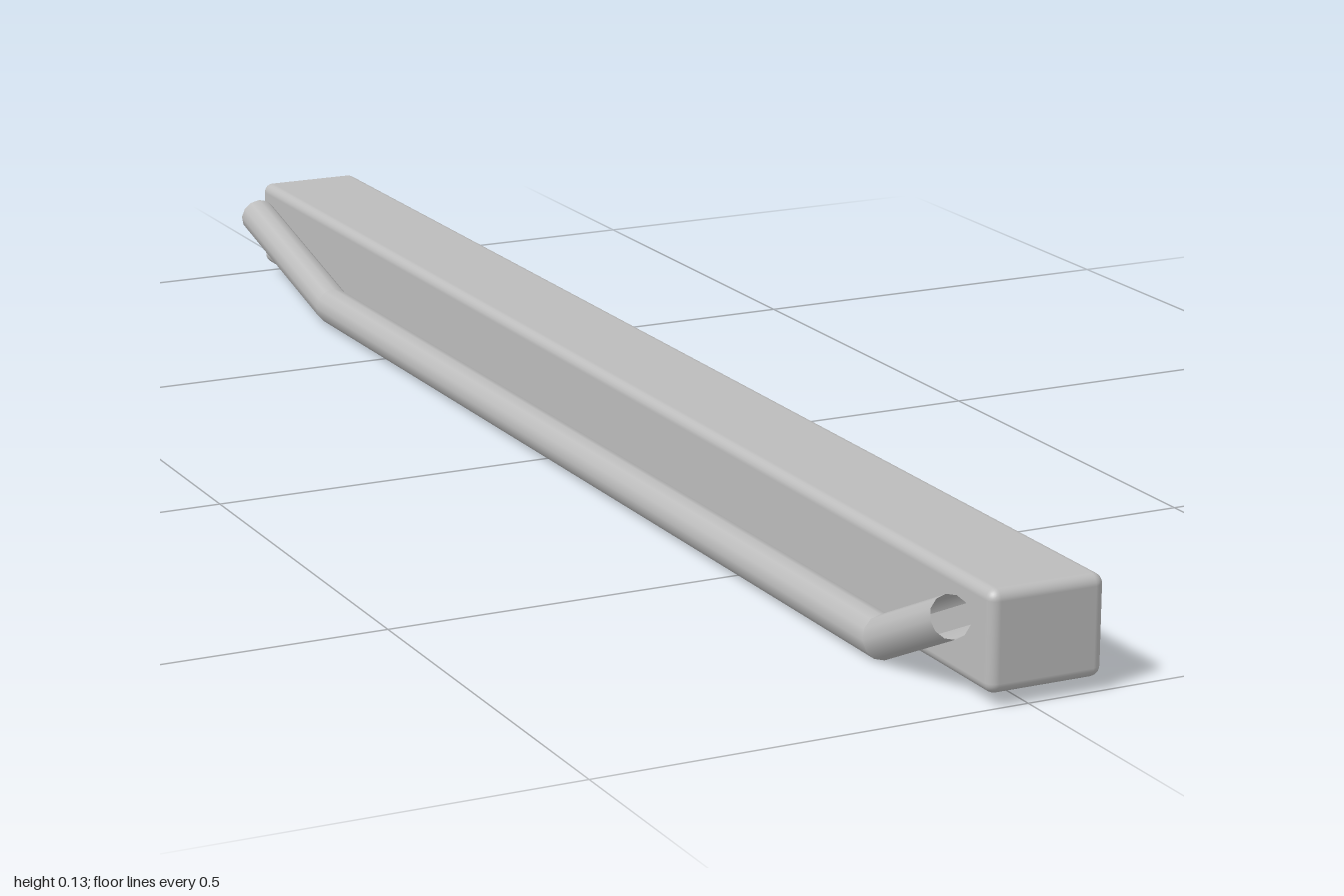
import * as THREE from 'three';
import { RoundedBoxGeometry } from 'three/addons/geometries/RoundedBoxGeometry.js';

const PIPE_RADIUS = 0.024;
const PIPE_SIDES = 12;

// Open straight pipe from a to b, its ends cut along planes with normals na and nb
function pipeSegment(a, b, na, nb) {
  const dir = b.clone().sub(a).normalize();
  const geometry = new THREE.CylinderGeometry(PIPE_RADIUS, PIPE_RADIUS, a.distanceTo(b), PIPE_SIDES, 1, true);
  geometry.applyQuaternion(new THREE.Quaternion().setFromUnitVectors(new THREE.Vector3(0, 1, 0), dir));
  const mid = a.clone().add(b).multiplyScalar(0.5);
  geometry.translate(mid.x, mid.y, mid.z);
  // Slide end vertices along the pipe onto the cutting planes
  const pos = geometry.attributes.position;
  const v = new THREE.Vector3();
  for (let i = 0; i < pos.count; i++) {
    v.fromBufferAttribute(pos, i);
    const atEnd = v.clone().sub(mid).dot(dir) > 0;
    const [point, normal] = atEnd ? [b, nb] : [a, na];
    v.addScaledVector(dir, point.clone().sub(v).dot(normal) / dir.dot(normal));
    pos.setXYZ(i, v.x, v.y, v.z);
  }
  return geometry;
}

export function createModel() {
  const model = new THREE.Group();
  model.name = 'beamWithPipe';
  const grey = new THREE.MeshStandardMaterial({ color: 0xbcbcbc, side: THREE.DoubleSide });
  grey.name = 'light grey';

  // Long beam with softened edges
  const beam = new THREE.Mesh(new RoundedBoxGeometry(0.137, 0.113, 2, 3, 0.012), grey);
  beam.name = 'beam';
  beam.position.set(0.0215, 0.0715, 0);
  model.add(beam);

  // Hollow side pipe, bent upward at both ends
  const pipe = new THREE.Group();
  pipe.name = 'sidePipe';
  const path = [[0.091, 0.955], [0.025, 0.815], [0.025, -0.695], [0.091, -0.965]]
    .map(([y, z]) => new THREE.Vector3(-0.068, y, z));
  const dirs = path.slice(1).map((p, i) => p.clone().sub(path[i]).normalize());
  // Square cut at the free ends, mitred at the bends
  const cuts = path.map((_, i) =>
    (dirs[i - 1] ?? dirs[i]).clone().add(dirs[i] ?? dirs[i - 1]).normalize());
  ['frontBend', 'straightRun', 'rearBend'].forEach((name, i) => {
    const mesh = new THREE.Mesh(pipeSegment(path[i], path[i + 1], cuts[i], cuts[i + 1]), grey);
    mesh.name = name;
    pipe.add(mesh);
  });
  model.add(pipe);

  return model;
}
